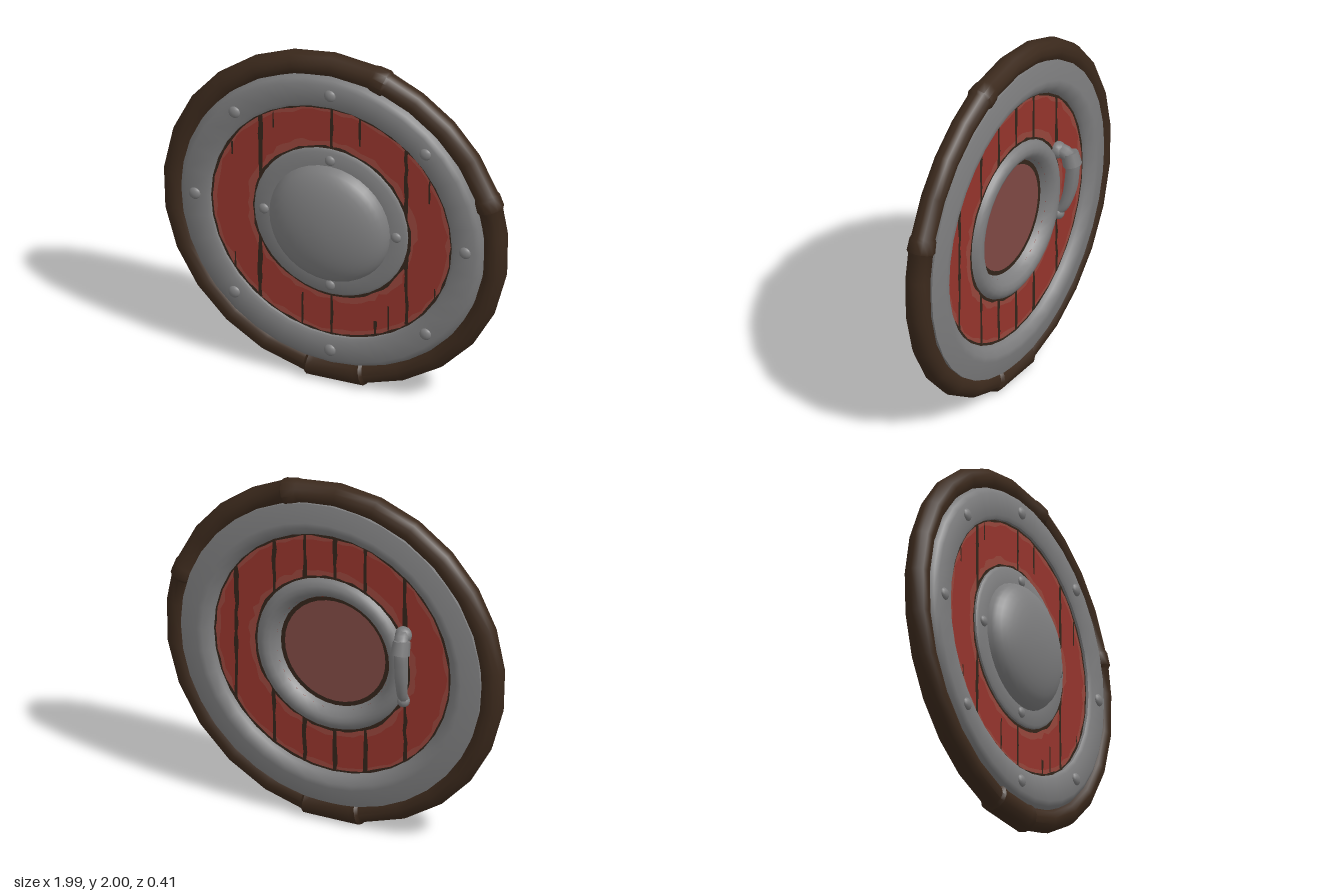
import * as THREE from 'three';
import { toCreasedNormals } from 'three/addons/utils/BufferGeometryUtils.js';

const mat = (name, color, side = THREE.FrontSide) => {
  const m = new THREE.MeshStandardMaterial({ color, side });
  m.name = name;
  return m;
};

// small seeded random for chipped edges
let seed = 7;
const rand = () => (seed = (seed * 16807) % 2147483647) / 2147483647;

// profile of [radius, z] points spun about the z axis
function spin(points, segments) {
  const g = new THREE.LatheGeometry(points.map(p => new THREE.Vector2(p[0], p[1])), segments);
  g.rotateX(Math.PI / 2);
  return toCreasedNormals(g, 0.6);
}

export function createModel() {
  seed = 7;
  const steel = mat('steel', 0x7c7c7d);
  const redWood = mat('red painted wood', 0x94342c);
  const wornWood = mat('worn red wood', 0x96453b, THREE.DoubleSide);
  const darkWood = mat('dark bare wood', 0x33241a, THREE.DoubleSide);
  const leather = mat('brown leather', 0x3b291c);
  const lining = mat('muted red lining', 0x7e4843);

  const model = new THREE.Group();
  model.name = 'roundShield';
  const body = new THREE.Group();
  body.name = 'shieldBody';
  body.position.y = 1;
  model.add(body);
  const add = (name, geometry, material, parent = body) => {
    const mesh = new THREE.Mesh(geometry, material);
    mesh.name = name;
    parent.add(mesh);
    return mesh;
  };

  // leather rim: rings of [angle in degrees, tube radius], swollen where the wraps overlap
  const stations = [[-100, 0.066], [-99, 0.081], [-97, 0.077], [-82, 0.077], [-80, 0.081], [-79, 0.066]];
  for (let a = -66; a <= 6; a += 14.4) stations.push([a, 0.067]);
  stations.push([15, 0.067], [16, 0.077], [20, 0.073], [21, 0.066]);
  for (let a = 34; a < 70; a += 13) stations.push([a, 0.066]);
  stations.push([71, 0.067], [72, 0.077], [76, 0.073], [77, 0.066]);
  for (let a = 91; a < 256; a += 14) stations.push([a, 0.067]);
  stations.push([260, 0.066]);
  const n = stations.length - 1, sides = 12, rimRadius = 0.934;
  const rim = new THREE.TorusGeometry(rimRadius, 0.066, sides, n);
  for (let j = 0; j <= sides; j++) {
    for (let i = 0; i <= n; i++) {
      const a = THREE.MathUtils.degToRad(stations[i][0]), t = stations[i][1];
      const v = (j / sides) * Math.PI * 2, r = rimRadius + t * Math.cos(v);
      rim.attributes.position.setXYZ(j * (n + 1) + i, r * Math.cos(a), r * Math.sin(a), t * Math.sin(v) - 0.022);
    }
  }
  add('leatherRim', toCreasedNormals(rim, 0.75), leather);

  // steel band, front and back
  add('steelBand', spin([[0.89, -0.085], [0.89, 0.01], [0.87, 0.045], [0.845, 0.062], [0.725, 0.062],
    [0.705, 0.05], [0.70, 0.03], [0.70, -0.06], [0.715, -0.085], [0.755, -0.112], [0.785, -0.112],
    [0.89, -0.085]], 36), steel);

  // wooden board, hollowed behind the boss
  add('woodBoard', spin([[0.335, -0.025], [0.335, -0.06], [0.71, -0.06], [0.71, 0.034], [0, 0.034]], 40), redWood);

  // chipped flat rings where paint has worn off
  function chippedRing(name, inner, outer, z, wobble, material) {
    const count = 72, g = new THREE.RingGeometry(inner, outer, count, 1);
    const p = g.attributes.position;
    // only the edge lying on open wood is uneven
    const row = outer > 0.6 ? 0 : count + 1;
    for (let i = 0; i < count; i++) {
      const k = 1 + (rand() - 0.5) * wobble;
      p.setXY(row + i, p.getX(row + i) * k, p.getY(row + i) * k);
    }
    p.setXY(row + count, p.getX(row), p.getY(row));
    add(name, g, material).position.z = z;
  }
  for (const [side, zWorn, zDark] of [['front', 0.036, 0.038], ['back', -0.062, -0.064]]) {
    chippedRing(side + 'OuterWear', 0.67, 0.705, zWorn, 0.035, wornWood);
    chippedRing(side + 'OuterEdge', 0.69, 0.705, zDark, 0.014, darkWood);
    chippedRing(side + 'InnerWear', 0.43, 0.49, zWorn, 0.06, wornWood);
    chippedRing(side + 'InnerEdge', 0.43, 0.46, zDark, 0.025, darkWood);
  }

  // ragged plank seams: x, low y, high y, width (from the shield centre)
  function seam(name, [x, y0, y1, w], z) {
    const steps = Math.max(3, Math.round((y1 - y0) / 0.06));
    const left = [], right = [];
    for (let i = 0; i <= steps; i++) {
      const y = y0 + ((y1 - y0) * i) / steps;
      left.push(new THREE.Vector2(x - w * (0.25 + 0.5 * rand()), y));
      right.unshift(new THREE.Vector2(x + w * (0.25 + 0.5 * rand()), y));
    }
    add(name, new THREE.ShapeGeometry(new THREE.Shape([...right, ...left])), darkWood).position.z = z;
  }
  const frontSeams = [
    [-0.415, -0.56, 0.56, 0.022], [0.435, -0.54, 0.54, 0.022],
    [0, 0.44, 0.7, 0.014], [0, -0.7, -0.44, 0.014],
    [0.165, 0.5, 0.68, 0.012], [-0.17, -0.68, -0.48, 0.012], [0.255, -0.65, -0.56, 0.014],
    [-0.34, 0.5, 0.6, 0.008], [0.6, -0.36, -0.28, 0.008], [-0.56, -0.42, -0.32, 0.008],
    [0.57, 0.24, 0.38, 0.008], [-0.58, 0.28, 0.36, 0.008], [0.33, -0.6, -0.45, 0.008]
  ];
  frontSeams.forEach(s => seam('frontSeam', s, 0.0385));
  for (const x of [0.57, 0.345, 0.165, -0.015, -0.195, -0.43]) {
    const h = Math.sqrt(0.7 * 0.7 - x * x);
    const gap = Math.sqrt(Math.max(0, 0.43 * 0.43 - x * x));
    seam('backSeam', [x, gap, h, 0.022], -0.0645);
    seam('backSeam', [x, -h, -gap, 0.022], -0.0645);
  }

  // domed boss with its flange
  const bossProfile = [[0.45, 0.02], [0.445, 0.048], [0.43, 0.058], [0.35, 0.061]];
  for (let i = 1; i <= 10; i++) {
    const a = (i / 10) * Math.PI / 2;
    bossProfile.push([i === 10 ? 0 : 0.347 * Math.cos(a), 0.062 + 0.138 * Math.sin(a)]);
  }
  add('boss', spin(bossProfile, 36), steel);

  // raised ring and sunken lining behind the boss
  add('backRing', spin([[0.32, -0.025], [0.335, -0.06], [0.36, -0.092], [0.385, -0.102],
    [0.41, -0.1], [0.435, -0.085], [0.45, -0.055]], 36), steel);
  const disc = new THREE.CircleGeometry(0.335, 36);
  disc.rotateY(Math.PI);
  add('backLining', disc, lining).position.z = -0.028;
  add('backLiningEdge', new THREE.RingGeometry(0.298, 0.33, 36), darkWood).position.z = -0.03;

  // rivets
  function rivets(name, count, radius, size) {
    const g = new THREE.SphereGeometry(size, 12, 8);
    g.scale(1, 1, 0.6);
    for (let i = 0; i < count; i++) {
      const a = (i / count) * Math.PI * 2;
      add(name, g, steel).position.set(radius * Math.cos(a), radius * Math.sin(a), 0.06);
    }
  }
  rivets('bandRivet', 8, 0.787, 0.035);
  rivets('bossRivet', 4, 0.385, 0.03);

  // handle at the back: a curved grip, thick in the middle and thin at the lower end
  const handle = new THREE.Group();
  handle.name = 'handle';
  body.add(handle);
  const path = new THREE.CatmullRomCurve3([
    [-0.43, -0.18, -0.06], [-0.435, -0.13, -0.105], [-0.445, -0.04, -0.135],
    [-0.45, 0.06, -0.15], [-0.45, 0.15, -0.15], [-0.435, 0.205, -0.12], [-0.425, 0.22, -0.06]
  ].map(p => new THREE.Vector3(...p)));
  const gripSteps = 24, gripSides = 8;
  const grip = new THREE.TubeGeometry(path, gripSteps, 0.04, gripSides);
  const gp = grip.attributes.position, v = new THREE.Vector3();
  for (let i = 0; i <= gripSteps; i++) {
    const centre = path.getPointAt(i / gripSteps);
    const scale = 0.6 + 0.4 * Math.min(1, (i / gripSteps) * 2.2);
    for (let j = 0; j <= gripSides; j++) {
      const k = i * (gripSides + 1) + j;
      v.fromBufferAttribute(gp, k).sub(centre).multiplyScalar(scale).add(centre);
      gp.setXYZ(k, v.x, v.y, v.z);
    }
  }
  add('handleGrip', grip, steel, handle);
  const collar = add('handleCollar', new THREE.CylinderGeometry(0.047, 0.053, 0.075, 10), steel, handle);
  collar.position.set(-0.447, 0.172, -0.146);
  collar.rotation.x = 0.25;
  for (const [y, r] of [[-0.18, 0.036], [0.215, 0.048]]) {
    const foot = add('handleFoot', new THREE.SphereGeometry(r, 10, 8), steel, handle);
    foot.position.set(-0.428, y, -0.075);
  }

  return model;
}
